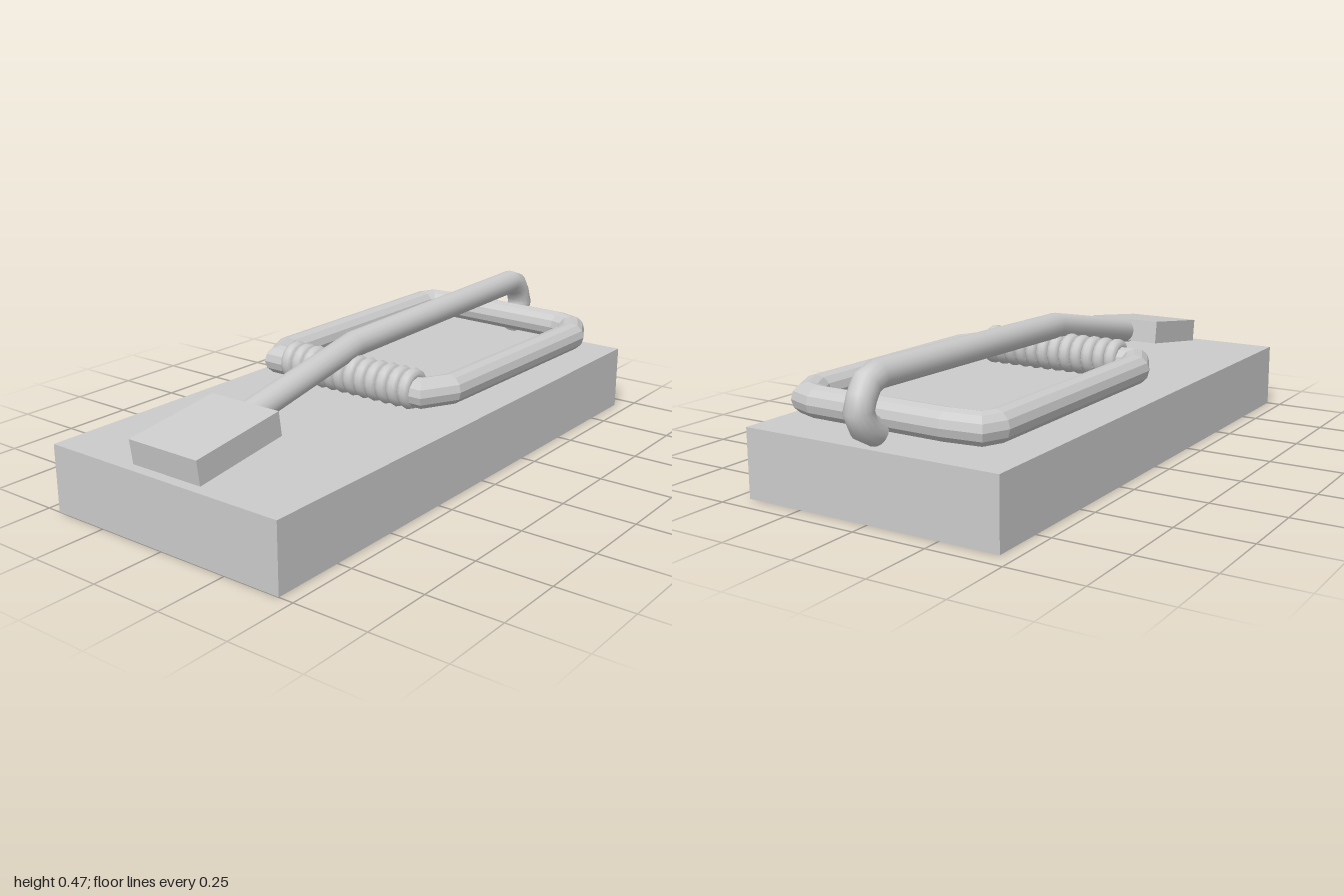
import * as THREE from 'three';

// Sweeps a round wire along a flat polyline in the XY plane, with mitred bends.
function wireGeometry(points, radius, sides, closed) {
  const pts = points.map(([x, y]) => new THREE.Vector2(x, y));
  const n = pts.length;
  const positions = [], indices = [];
  const direction = (i) => pts[(i + 1) % n].clone().sub(pts[i]).normalize();
  pts.forEach((p, i) => {
    const before = direction(!closed && i === 0 ? 0 : (i - 1 + n) % n);
    const after = direction(!closed && i === n - 1 ? n - 2 : i);
    const tangent = before.clone().add(after).normalize();
    const stretch = 1 / tangent.dot(after);
    for (let j = 0; j < sides; j++) {
      const a = (j / sides) * Math.PI * 2;
      const c = Math.cos(a) * radius * stretch;
      positions.push(p.x - tangent.y * c, p.y + tangent.x * c, Math.sin(a) * radius);
    }
  });
  for (let i = 0; i < (closed ? n : n - 1); i++) {
    for (let j = 0; j < sides; j++) {
      const k = (j + 1) % sides, next = (i + 1) % n;
      const a = i * sides + j, b = i * sides + k;
      const c = next * sides + j, d = next * sides + k;
      indices.push(a, b, c, b, d, c);
    }
  }
  // End caps get their own vertices so their rims stay sharp
  if (!closed) {
    for (const end of [0, n - 1]) {
      const first = positions.length / 3;
      const ring = positions.slice(end * sides * 3, (end + 1) * sides * 3);
      positions.push(...ring);
      for (let j = 1; j < sides - 1; j++) {
        if (end === 0) indices.push(first, first + j + 1, first + j);
        else indices.push(first, first + j, first + j + 1);
      }
    }
  }
  const geometry = new THREE.BufferGeometry();
  geometry.setAttribute('position', new THREE.Float32BufferAttribute(positions, 3));
  geometry.setIndex(indices);
  geometry.computeVertexNormals();
  return geometry;
}

export function createModel() {
  const group = new THREE.Group();
  const smooth = new THREE.MeshStandardMaterial({ color: 0xcccccc });
  const flat = new THREE.MeshStandardMaterial({ color: 0xcccccc, flatShading: true });
  const add = (name, geometry, material, x = 0, y = 0, z = 0, parent = group) => {
    const mesh = new THREE.Mesh(geometry, material);
    mesh.name = name;
    mesh.position.set(x, y, z);
    parent.add(mesh);
    return mesh;
  };

  // Wooden base
  add('base', new THREE.BoxGeometry(1.935, 0.225, 0.9), flat, -0.0325, 0.1125, 0);

  // Rectangular snap frame, drawn as (x, -z) and laid flat
  const frame = wireGeometry([
    [-0.13, 0.30], [-0.04, 0.345], [0.785, 0.345], [0.83, 0.325], [0.842, 0.22],
    [0.832, -0.25], [0.81, -0.31], [0.725, -0.355], [-0.04, -0.343], [-0.13, -0.295],
  ].reverse(), 0.05, 12, true);
  frame.rotateX(-Math.PI / 2);
  add('snapFrame', frame, flat, 0, 0.306, 0);

  // Spring coils around the rear bar of the frame
  const spring = new THREE.Group();
  spring.name = 'spring';
  group.add(spring);
  const coil = new THREE.TorusGeometry(0.046, 0.0225, 10, 16);
  for (let i = 0; i < 12; i++) {
    add('springCoil', coil, smooth, -0.13, 0.314, 0.257 - i * 0.0443, spring);
  }

  // Long holding arm with its hooked end
  add('holdingArm', wireGeometry([
    [-0.66, 0.302], [-0.62, 0.309], [-0.11, 0.409], [0.87, 0.428],
    [0.915, 0.412], [0.94, 0.375], [0.955, 0.335], [0.933, 0.29], [0.882, 0.262],
  ], 0.044, 16, false), smooth);

  // Tilted bait pedal
  const pedal = add('baitPedal', new THREE.BoxGeometry(0.347, 0.082, 0.272), flat, -0.797, 0.289, -0.002);
  pedal.rotation.z = 0.135;

  return group;
}
